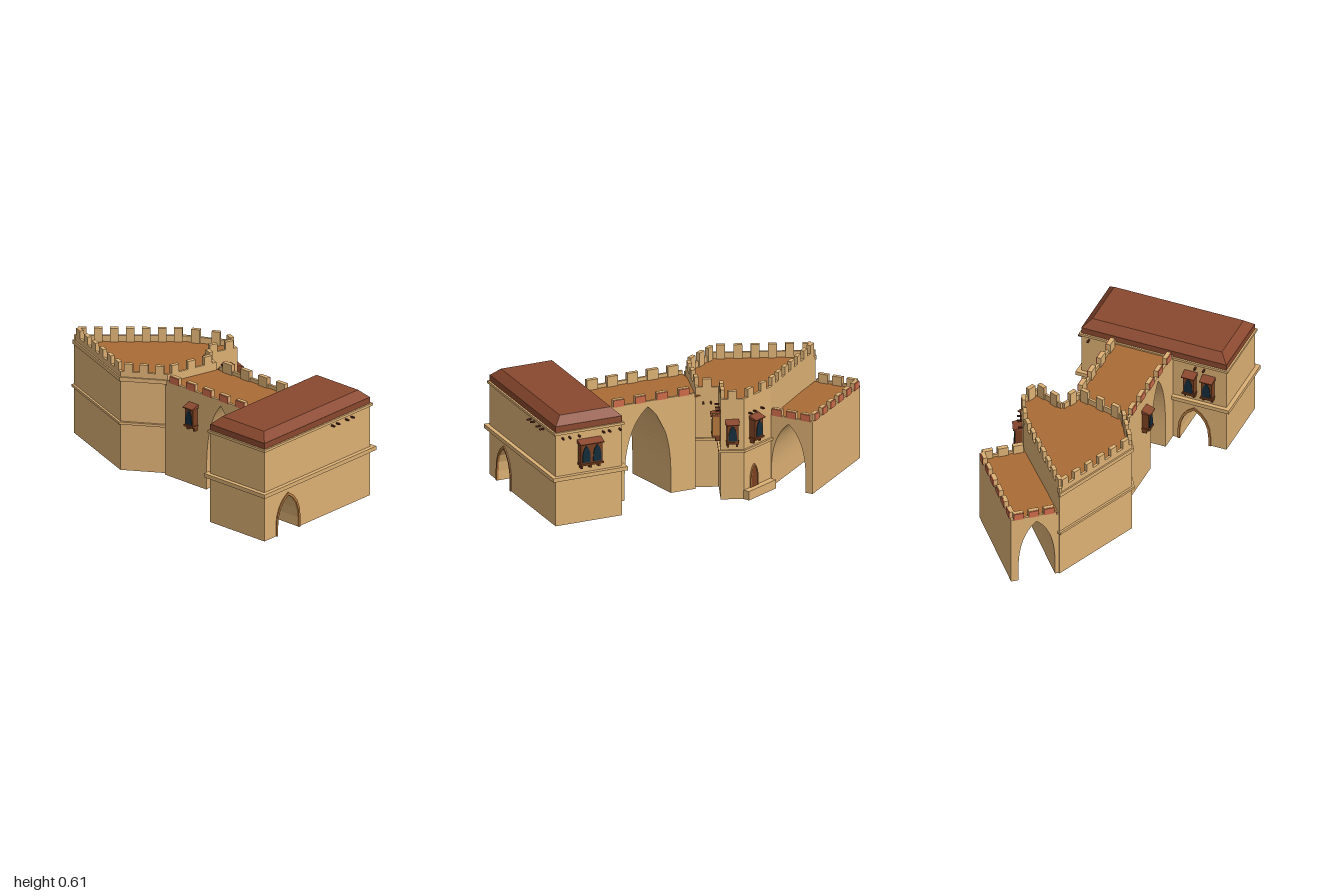
import * as THREE from 'three';

const mat = (name, color) => Object.assign(new THREE.MeshStandardMaterial({ color }), { name });
const M = {
  wall: mat('sandstone', 0xdcb074), floor: mat('terrace clay', 0xaa6b34), roof: mat('roof tile', 0x8a482e),
  red: mat('terracotta', 0xcc6b4a), wood: mat('dark wood', 0x7a4021), dark: mat('beam wood', 0x5c2a1b),
  glass: mat('blue glass', 0x142c3a), trim: mat('arch trim', 0xb5793e),
};
M.wall.side = THREE.DoubleSide; // the hollow blocks are open underneath

function add(parent, name, geo, m, x = 0, y = 0, z = 0) {
  const mesh = new THREE.Mesh(geo, m);
  mesh.name = name;
  mesh.position.set(x, y, z);
  parent.add(mesh);
  return mesh;
}
// box given by its bottom height and top height
const slab = (p, name, m, x, z, w, d, y0, y1) =>
  add(p, name, new THREE.BoxGeometry(w, y1 - y0, d), m, x, (y0 + y1) / 2, z);

function group(parent, name, x = 0, y = 0, z = 0, ry = 0) {
  const g = new THREE.Group();
  g.name = name;
  g.position.set(x, y, z);
  g.rotation.y = ry;
  parent.add(g);
  return g;
}

// pointed arch outline, left foot to right foot
function archPts(c, w, h, n = 8) {
  const r = w / 2, V = (x, y) => new THREE.Vector2(x, y);
  const left = new THREE.QuadraticBezierCurve(V(-r, h * 0.25), V(-r * 0.98, h * 0.79), V(0, h)).getPoints(n);
  const half = [V(-r, 0), ...left];
  const right = half.slice(0, -1).reverse().map(p => V(-p.x, p.y));
  return [...half, ...right].map(p => V(p.x + c, p.y));
}
const extrude = (pts, depth) => new THREE.ExtrudeGeometry(new THREE.Shape(pts), { depth, bevelEnabled: false });

// drops the triangles lying on the ground
function openBottom(geo) {
  const p = geo.attributes.position, out = [];
  for (let i = 0; i < p.count; i += 3) {
    if (Math.max(p.getY(i), p.getY(i + 1), p.getY(i + 2)) < 1e-4) continue;
    for (let k = i; k < i + 3; k++) out.push(p.getX(k), p.getY(k), p.getZ(k));
  }
  const g = new THREE.BufferGeometry();
  g.setAttribute('position', new THREE.Float32BufferAttribute(out, 3));
  g.computeVertexNormals();
  return g;
}

// wall block pierced by an arch, running along z and centred on it
function archBlock(x0, x1, h, c, w, ah, depth, n) {
  const V = (x, y) => new THREE.Vector2(x, y);
  const pts = [V(x0, 0), ...archPts(c, w, ah, n), V(x1, 0), V(x1, h), V(x0, h)];
  return openBottom(extrude(pts, depth).translate(0, 0, -depth / 2));
}
const archRing = (w, h, t, depth, n) =>
  extrude([...archPts(0, w, h, n), ...archPts(0, w - 2 * t, h - t * 1.3, n).reverse()], depth);

const planShape = pts => new THREE.Shape(pts.map(([x, z]) => new THREE.Vector2(x, -z)));

// frame on a plan edge: x runs along it, z points outwards
function edge(parent, name, p, q) {
  const dx = q[0] - p[0], dz = q[1] - p[1];
  const g = group(parent, name, (p[0] + q[0]) / 2, 0, (p[1] + q[1]) / 2, Math.atan2(-dz, dx));
  g.userData.len = Math.hypot(dx, dz);
  return g;
}

// thin low wall with deeper merlons, optionally faced in terracotta
function parapet(parent, p, q, y0, y1, y2, step, mw, red) {
  const g = edge(parent, 'parapet', p, q), L = g.userData.len, t = 0.022;
  slab(g, 'parapetWall', M.wall, 0, -0.007, L, 0.014, y0, y1);
  const n = Math.max(1, Math.round(L / step));
  for (let i = 0; i < n; i++) {
    const x = -L / 2 + (i + 0.5) * L / n;
    slab(g, 'merlon', M.wall, x, -t / 2, mw, t, y0, y2);
    if (red) slab(g, 'merlonFace', M.red, x, 0.002, mw, 0.006, y1 - 0.003, y2 - 0.002);
  }
}

// projecting timber window; local z points away from the wall
function bay(parent, x, y, z, ry, w, h, panes) {
  const g = group(parent, 'bayWindow', x, y, z, ry), d = 0.038;
  slab(g, 'bayBox', M.wood, 0, d / 2, w, d, 0, h);
  const hood = new THREE.BoxGeometry(w + 0.012, 0.02, d + 0.012), a = hood.attributes.position;
  for (let i = 0; i < a.count; i++) if (a.getY(i) > 0 && a.getZ(i) > 0) a.setY(i, -0.005);
  hood.computeVertexNormals();
  add(g, 'bayHood', hood, M.roof, 0, h + 0.01, (d + 0.012) / 2);
  const pw = w / panes;
  for (let i = 0; i < panes; i++) {
    const px = -w / 2 + (i + 0.5) * pw;
    add(g, 'pane', extrude(archPts(0, pw * 0.74, h * 0.84, 4), 0.004), M.glass, px, h * 0.1, d);
  }
  slab(g, 'sill', M.wood, 0, d / 2 + 0.003, w + 0.008, d + 0.006, -0.006, 0.004);
  for (let i = 0; i <= panes; i++) {
    const bx = -w * 0.4 + i * w * 0.8 / panes;
    slab(g, 'bracket', M.wood, bx, 0.013, 0.011, 0.026, -0.028, -0.006);
  }
}

function beams(parent, xs, y) {
  for (const x of xs) add(parent, 'beamEnd', new THREE.BoxGeometry(0.008, 0.008, 0.03), M.dark, x, y, 0.01);
}

function createModel() {
  const root = new THREE.Group();
  root.name = 'fortifiedGate';

  // roofed house
  const W = 0.83, D = 0.385, archX = -0.232;
  const house = group(root, 'house', 0.047, 0, 0.635, 0.375);
  add(house, 'houseWalls', archBlock(-W / 2, W / 2, 0.516, archX, 0.166, 0.211, D, 4), M.wall);
  slab(house, 'middleLedge', M.wall, 0, 0, W + 0.046, D + 0.046, 0.258, 0.28);
  slab(house, 'eavesLedge', M.wall, 0, 0, W + 0.02, D + 0.02, 0.514, 0.528);
  slab(house, 'roofBand', M.roof, 0, 0, W, D, 0.528, 0.562);
  const hip = new THREE.BoxGeometry(W, 0.044, D), hp = hip.attributes.position;
  for (let i = 0; i < hp.count; i++) if (hp.getY(i) > 0) {
    hp.setX(i, hp.getX(i) - Math.sign(hp.getX(i)) * 0.045);
    hp.setZ(i, hp.getZ(i) - Math.sign(hp.getZ(i)) * 0.045);
  }
  hip.computeVertexNormals();
  add(house, 'hippedRoof', hip, M.roof, 0, 0.583, 0);
  for (const s of [-1, 1])
    add(house, 'archTrim', archRing(0.188, 0.225, 0.012, 0.012, 4), M.trim, archX, 0, s * D / 2 - 0.006);
  bay(house, W / 2, 0.338, 0, Math.PI / 2, 0.125, 0.112, 2);
  for (const x of [-0.316, -0.213]) bay(house, x, 0.338, -D / 2, Math.PI, 0.062, 0.105, 1);
  beams(group(house, 'frontBeams', 0, 0, D / 2), [0.11, 0.15, 0.22, 0.265], 0.498);
  beams(group(house, 'endBeams', W / 2, 0, 0, Math.PI / 2), [-0.155, -0.115, -0.06, 0.08, 0.115, 0.175], 0.493);
  beams(group(house, 'backBeams', 0, 0, -D / 2, Math.PI), [-0.37, 0.24, 0.29], 0.495);

  // bridge over the tall arch, in the same frame as the house
  const bw = 0.34, bx = 0.06;
  const bridge = group(house, 'bridge');
  const span = archBlock(0.19, 0.79, 0.515, 0.427, 0.268, 0.508, bw, 14).rotateY(Math.PI / 2), sp = span.attributes.position;
  for (let i = 0; i < sp.count; i++) {
    const x = sp.getX(i), z = sp.getZ(i);
    // the tower end is cut at a slant, and the passage narrows to the west
    if (z < -0.7) sp.setZ(i, z + (x + bw / 2) / bw * 0.085);
    else if (z < -0.28 && x < 0) sp.setZ(i, -0.293 + (z + 0.293) * 0.75);
  }
  span.computeVertexNormals();
  add(bridge, 'bridgeArch', span, M.wall, bx);
  slab(bridge, 'bridgeFloor', M.floor, bx, -0.485, bw - 0.02, 0.59, 0.512, 0.52);
  parapet(bridge, [bx - bw / 2, -0.78], [bx - bw / 2, -0.195], 0.51, 0.54, 0.578, 0.115, 0.062, true);
  parapet(bridge, [bx + bw / 2, -0.195], [bx + bw / 2, -0.7], 0.51, 0.54, 0.578, 0.115, 0.062, true);
  bay(bridge, bx - bw / 2, 0.35, -0.585, -Math.PI / 2, 0.055, 0.1, 1);

  // main tower
  const P = [[-0.527, -0.767], [-0.527, -0.22], [-0.325, -0.07], [-0.02, -0.105], [-0.02, -0.228], [0.165, -0.228], [0.165, -0.35], [0, -0.5]];
  const tower = group(root, 'tower');
  const body = new THREE.ExtrudeGeometry(planShape(P), { depth: 0.53, bevelEnabled: false }).rotateX(-Math.PI / 2);
  add(tower, 'towerWalls', openBottom(body), M.wall);
  add(tower, 'towerFloor', new THREE.ShapeGeometry(planShape(P)).rotateX(-Math.PI / 2), M.floor, 0, 0.532, 0);
  P.forEach((p, i) => {
    const q = P[(i + 1) % P.length];
    parapet(tower, p, q, 0.528, 0.565, 0.61, 0.09, 0.046, false);
    if (i !== 2 && i !== 7) {
      const e = edge(tower, 'ledges', p, q), L = e.userData.len;
      slab(e, 'middleLedge', M.wall, 0, 0, L + 0.012, 0.024, 0.266, 0.28);
      if (i < 2) slab(e, 'upperLedge', M.wall, 0, 0, L + 0.008, 0.016, 0.512, 0.535);
    }
  });

  // tower windows, beams, door and step
  const inner = edge(tower, 'innerFace', P[3], P[4]);
  const south = edge(tower, 'southFace', P[4], P[5]);
  const east = edge(tower, 'eastFace', P[5], P[6]);
  const porch = edge(tower, 'porchFace', P[6], P[7]);
  bay(south, 0.015, 0.34, 0, 0, 0.06, 0.11, 1);
  slab(south, 'bayCheek', M.trim, 0.046, 0.021, 0.004, 0.042, 0.335, 0.47);
  bay(east, 0, 0.332, 0, 0, 0.06, 0.1, 1);
  bay(porch, -0.03, 0.332, 0, 0, 0.066, 0.105, 1);
  beams(inner, [-0.02, 0.02], 0.48);
  beams(south, [-0.05, 0, 0.05], 0.485);
  beams(porch, [-0.07, -0.03, 0.03], 0.475);
  add(porch, 'door', extrude(archPts(0, 0.054, 0.12, 5), 0.006), M.wood, -0.03, 0.05, 0);
  add(porch, 'doorTrim', archRing(0.064, 0.127, 0.006, 0.009, 5), M.trim, -0.03, 0.05, 0);
  slab(porch, 'doorStep', M.wall, 0, 0.008, 0.225, 0.055, 0, 0.05);

  // low arched wing behind the tower
  const w = 0.58, d = 0.25, lap = 0.018;
  const wing = group(root, 'lowWing', -0.2, 0, -0.746, -0.503);
  add(wing, 'wingArch', archBlock(-d / 2 - lap, d / 2, 0.39, -0.016, 0.2, 0.37, w, 12).rotateY(Math.PI / 2), M.wall);
  slab(wing, 'wingFloor', M.floor, 0, lap / 2, w - 0.02, d - 0.02 + lap, 0.386, 0.394);
  const c = [[w / 2, d / 2], [w / 2, -d / 2], [-w / 2, -d / 2], [-w / 2, d / 2]];
  for (let i = 0; i < 3; i++) parapet(wing, c[i], c[i + 1], 0.385, 0.408, 0.445, 0.095, 0.056, true);
  return root;
}

export { createModel };
